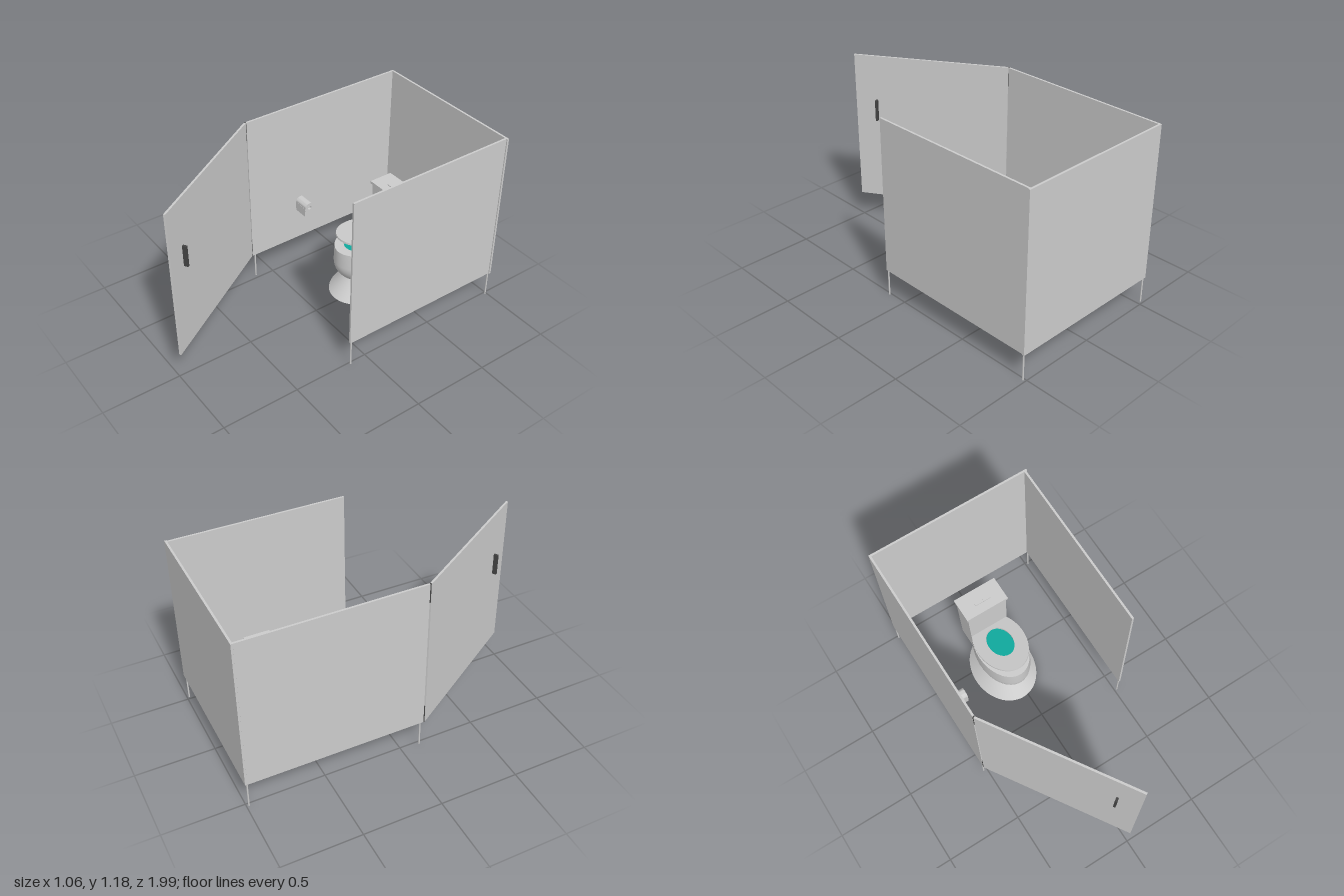
import * as THREE from 'three';
import { toCreasedNormals } from 'three/addons/utils/BufferGeometryUtils.js';

const grey = new THREE.MeshStandardMaterial({ color: 0xcccccc });
const greyThin = new THREE.MeshStandardMaterial({ color: 0xcccccc, side: THREE.DoubleSide });
const dark = new THREE.MeshStandardMaterial({ color: 0x444444 });
const teal = new THREE.MeshStandardMaterial({ color: 0x10a89c });

function add(parent, name, geometry, x, y, z, material = grey) {
  const mesh = new THREE.Mesh(geometry, material);
  mesh.name = name;
  mesh.position.set(x, y, z);
  parent.add(mesh);
  return mesh;
}

const box = (w, h, d) => new THREE.BoxGeometry(w, h, d);

// Elliptical lathe: radii are measured along x, stretched along z
function ovalLathe(points, stretch) {
  const g = new THREE.LatheGeometry(points.map(([r, y]) => new THREE.Vector2(r, y)), 64);
  g.scale(1, 1, stretch);
  return toCreasedNormals(g, 0.6);
}

function buildStall(root) {
  const stall = new THREE.Group();
  stall.name = 'stall';
  root.add(stall);
  const H = 1.005, midY = 0.6825, T = 0.013;

  add(stall, 'backWall', box(1.058, H, T), 0, midY, -0.9925);
  add(stall, 'rightWall', box(T, H, 1.125), -0.523, midY, -0.4235);
  add(stall, 'leftWall', box(T, H, 1.117), 0.516, midY, -0.4275);

  // Thin legs under the corners
  for (const x of [-0.522, 0.516])
    for (const z of [-0.986, 0.12])
      add(stall, 'leg', new THREE.CylinderGeometry(0.005, 0.005, 0.175, 16), x, 0.0925, z);

  // Door swung open about the right wall's front edge; local +x runs along the door
  const door = new THREE.Group();
  door.name = 'door';
  door.position.set(-0.524, 0, 0.145);
  door.rotation.y = -Math.atan2(0.844, 0.542);
  stall.add(door);
  add(door, 'doorPanel', box(1.0, H, T), 0.502, midY, 0);
  add(door, 'doorHandle', box(0.014, 0.14, 0.066), 0.862, 0.815, 0, dark);

  // Hinges
  for (const y of [0.24, 1.123])
    add(stall, 'hinge', new THREE.CylinderGeometry(0.006, 0.006, 0.124, 16), -0.524, y, 0.143, dark);
}

function buildToilet(root) {
  const toilet = new THREE.Group();
  toilet.name = 'toilet';
  toilet.position.set(-0.035, 0, -0.43);
  root.add(toilet);

  add(toilet, 'base', ovalLathe([[0, 0], [0.208, 0], [0.108, 0.115], [0, 0.115]], 1.26), 0, 0, 0);

  // Rounded bowl with a flat rim and a shallow inner wall
  const profile = [[0, 0.105]];
  for (let i = 0; i <= 12; i++) {
    const y = 0.105 + (0.155 * i) / 12;
    profile.push([0.163 * Math.sqrt(1 - ((y - 0.26) / 0.185) ** 2), y]);
  }
  profile.push([0.16, 0.365], [0.116, 0.365], [0.112, 0.335]);
  add(toilet, 'bowl', ovalLathe(profile, 1.47), 0, 0, 0, greyThin);

  const water = new THREE.CircleGeometry(0.114, 64);
  water.rotateX(-Math.PI / 2);
  water.scale(1, 1, 1.47);
  add(toilet, 'water', water, 0, 0.344, 0, teal);

  // Seat ring, hinged at the back and slightly raised at the front
  const ring = new THREE.Shape().absellipse(0, 0, 0.16, 0.23, 0, Math.PI * 2);
  ring.holes.push(new THREE.Path().absellipse(0, 0, 0.08, 0.114, 0, Math.PI * 2, true));
  const seatGeo = new THREE.ExtrudeGeometry(ring, { depth: 0.012, bevelEnabled: false, curveSegments: 48 });
  seatGeo.rotateX(-Math.PI / 2);
  add(toilet, 'seat', toCreasedNormals(seatGeo, 0.6), 0, 0.41, 0).rotation.x = -0.18;

  // Tank narrowing slightly toward the bottom
  const tankGeo = box(0.272, 0.44, 0.142);
  const p = tankGeo.attributes.position;
  for (let i = 0; i < p.count; i++)
    if (p.getY(i) < 0) p.setX(i, p.getX(i) * 0.94);
  tankGeo.computeVertexNormals();
  add(toilet, 'tank', tankGeo, 0, 0.44, -0.21);
  add(toilet, 'tankLid', box(0.29, 0.018, 0.162), 0, 0.669, -0.21);
  for (const s of [-1, 1])
    add(toilet, 'flushButton', box(0.05, 0.008, 0.02), s * 0.027 + 0.003, 0.68, -0.197);
}

function buildPaper(root) {
  const holder = new THREE.Group();
  holder.name = 'paperHolder';
  holder.position.set(-0.457, 0.473, -0.24);
  root.add(holder);

  add(holder, 'bracket', box(0.014, 0.03, 0.022), -0.055, 0, 0, dark);
  const rod = add(holder, 'rod', new THREE.CylinderGeometry(0.006, 0.006, 0.105, 16), -0.005, 0, 0);
  rod.rotation.z = Math.PI / 2;

  // Hollow paper roll lying along x
  const disc = new THREE.Shape().absarc(0, 0, 0.034, 0, Math.PI * 2);
  disc.holes.push(new THREE.Path().absarc(0, 0, 0.014, 0, Math.PI * 2, true));
  const roll = new THREE.ExtrudeGeometry(disc, { depth: 0.104, bevelEnabled: false, curveSegments: 24 });
  roll.translate(0, 0, -0.052);
  roll.rotateY(Math.PI / 2);
  add(holder, 'paperRoll', toCreasedNormals(roll, 0.6), 0, 0, 0);
  add(holder, 'hangingSheet', box(0.102, 0.06, 0.002), 0, -0.03, 0.034);
}

export function createModel() {
  const root = new THREE.Group();
  root.name = 'restroomStall';
  buildStall(root);
  buildToilet(root);
  buildPaper(root);
  return root;
}
